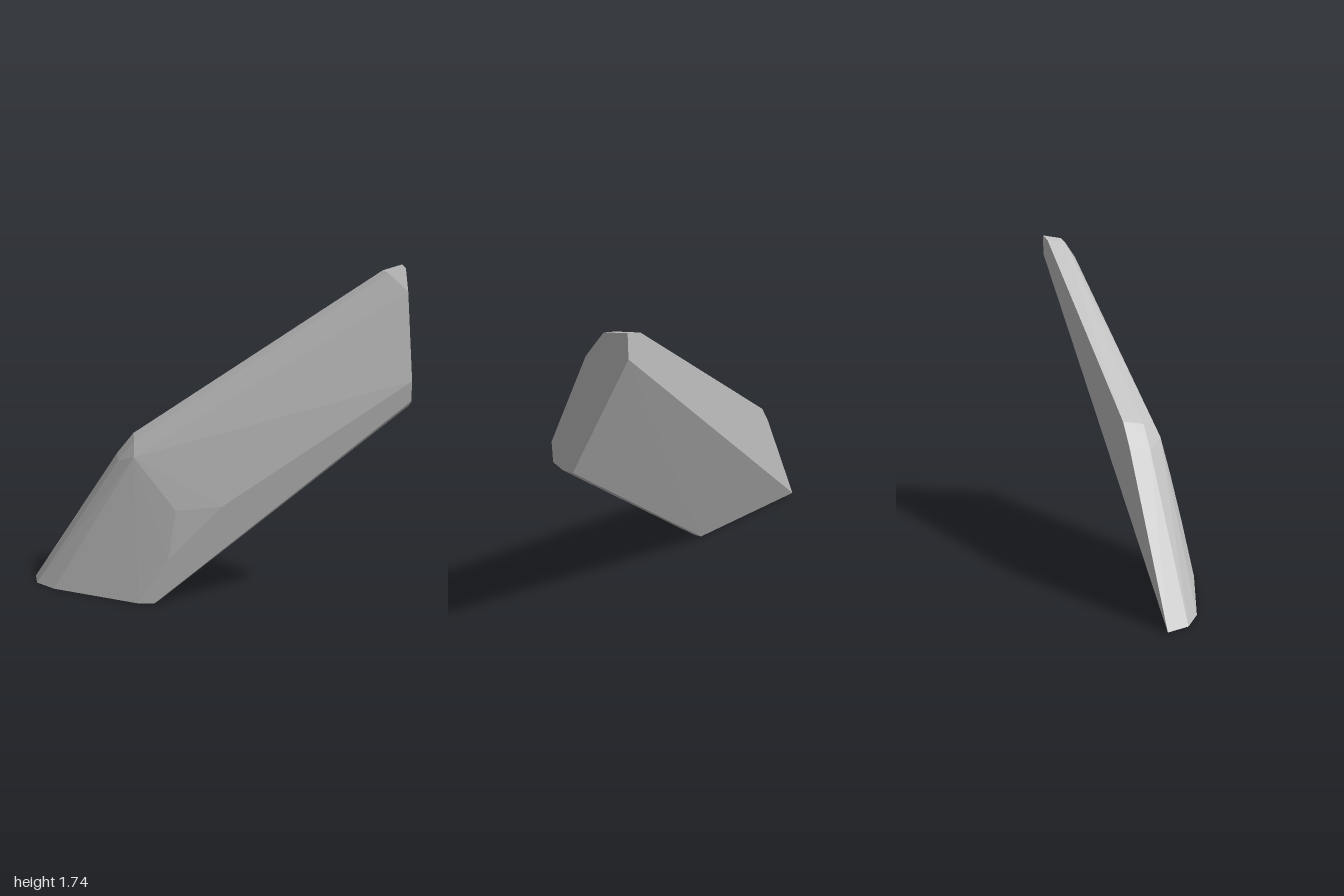
import * as THREE from 'three';
import { ConvexGeometry } from 'three/addons/geometries/ConvexGeometry.js';

// Faceted leaning slab: a convex solid described by its outline at successive depths.
export function createModel() {
  const group = new THREE.Group();
  group.name = 'facetedSlab';
  const stone = new THREE.MeshStandardMaterial({ color: 0xbfbfbf });
  stone.name = 'light grey';

  // each layer: depth z, then [x, y] corners
  const layers = [
    // flat back
    [-0.2, [[-1, 0], [-0.52, 0.72], [-0.43, 0.83], [0.9, 1.71], [1, 1.74], [1, 1.63]]],
    // edge of the upper rim
    [-0.09, [[-0.97, 0], [-0.505, 0.7], [-0.415, 0.81], [0.91, 1.7], [1, 1.725]]],
    // upper bevel
    [0, [[-0.86, 0], [-0.41, 0.74], [1, 1.61]]],
    // lower rim
    [0.1, [[-0.27, 0], [1, 1.05]]],
    // corner of the front bevel
    [0.15, [[-0.18, 0.49], [-0.27, 0], [1, 1.05]]],
    // flat front strip
    [0.2, [[-0.38, 0], [-0.22, 0.24], [0.06, 0.53], [1, 1.18], [1, 1.08], [-0.295, 0]]],
  ];
  const points = layers.flatMap(([z, corners]) =>
    corners.map(([x, y]) => new THREE.Vector3(x, y, z)));

  const slab = new THREE.Mesh(new ConvexGeometry(points), stone);
  slab.name = 'slab';
  group.add(slab);
  return group;
}
